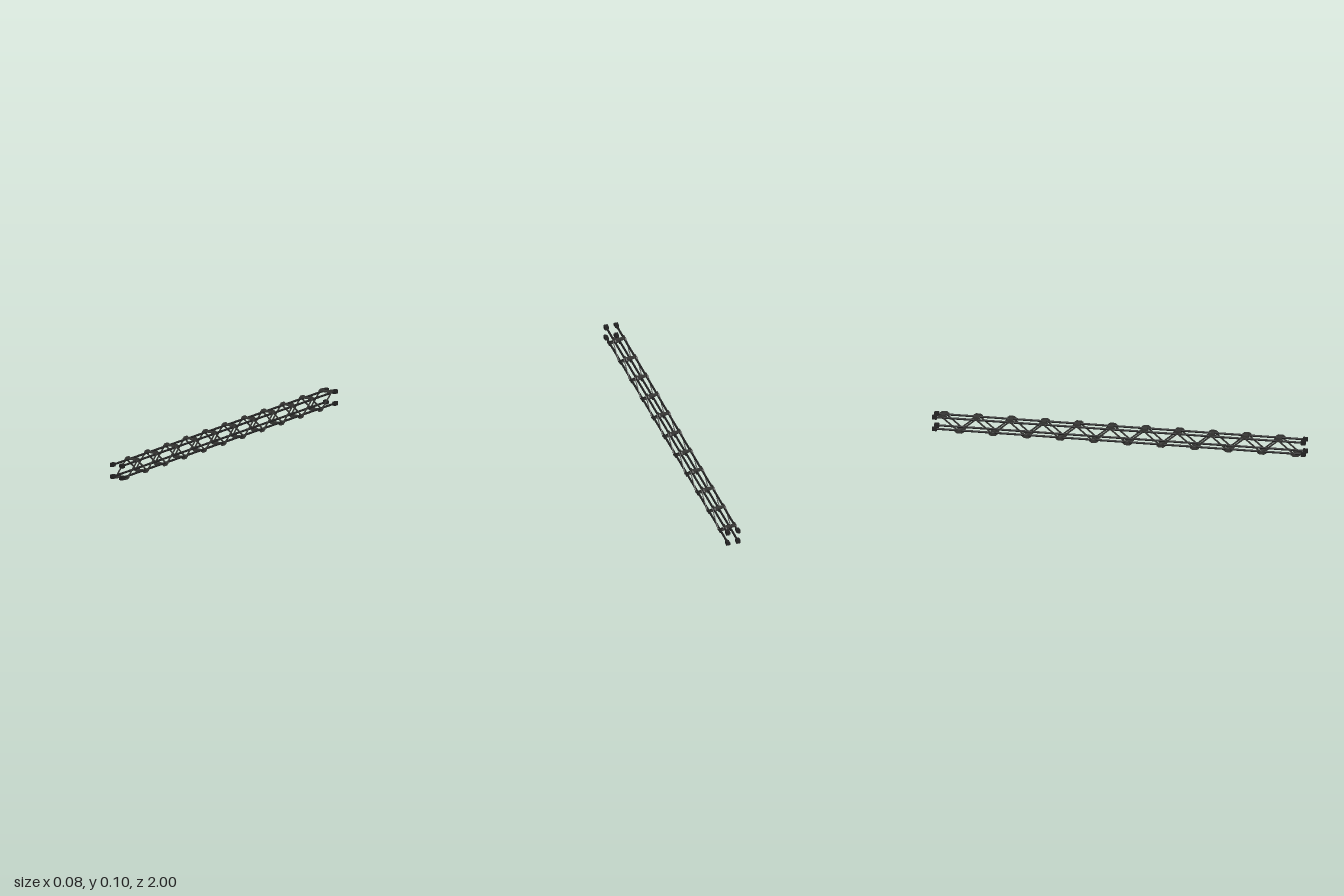
import * as THREE from 'three';

export function createModel() {
  const model = new THREE.Group();
  const chordPaint = new THREE.MeshStandardMaterial({ color: 0x222222 });
  chordPaint.name = 'black steel';
  const lacingPaint = new THREE.MeshStandardMaterial({ color: 0x363634 });
  lacingPaint.name = 'dark grey steel';

  const X = 0.028, MID = 0.049, H = 0.032; // chord offset, centre height, half height
  const add = (name, geometry, material, x, y, z) => {
    const mesh = new THREE.Mesh(geometry, material);
    mesh.name = name;
    mesh.position.set(x, y, z);
    model.add(mesh);
    return mesh;
  };

  // Four long chords with a notched block on each end
  const chordGeo = new THREE.CylinderGeometry(0.006, 0.006, 1.97, 8).rotateX(Math.PI / 2);
  const blockGeo = (sx, sy) => {
    const pts = [[0.0105, 0.0105], [-0.0105, 0.0105], [-0.0105, -0.005],
      [-0.005, -0.005], [-0.005, -0.0105], [0.0105, -0.0105]];
    const shape = new THREE.Shape(pts.map(([x, y]) => new THREE.Vector2(x * sx, y * sy)));
    return new THREE.ExtrudeGeometry(shape, { depth: 0.025, bevelEnabled: false }).translate(0, 0, -0.0125);
  };
  for (const sx of [-1, 1]) for (const sy of [-1, 1]) {
    add('chord', chordGeo, chordPaint, sx * X, MID + sy * H, 0);
    const geo = blockGeo(sx, sy);
    for (const sz of [-1, 1]) add('endBlock', geo, chordPaint, sx * X, MID + sy * H, sz * 0.9875);
  }

  // Gusset plate profile, drawn in z and y and turned to face sideways
  const gussetGeo = (sy) => {
    const pts = [[-0.024, -0.004], [0.024, -0.004], [0.024, 0.009], [0.013, 0.017], [-0.013, 0.017], [-0.024, 0.009]];
    const shape = new THREE.Shape(pts.map(([z, y]) => new THREE.Vector2(z, y * sy)));
    return new THREE.ExtrudeGeometry(shape, { depth: 0.006, bevelEnabled: false })
      .translate(0, 0, -0.003).rotateY(Math.PI / 2);
  };
  const gussets = { '-1': gussetGeo(-1), '1': gussetGeo(1) };

  // Nodes alternate between the lower and upper chords
  const COUNT = 22, PITCH = 0.09, R = 0.037;
  const rungGeo = new THREE.BoxGeometry(0.068, 0.006, 0.02);
  const braceLength = Math.hypot(PITCH, 2 * R);
  const braceGeo = new THREE.BoxGeometry(0.004, 0.008, braceLength);
  for (let i = 0; i < COUNT; i++) {
    const z = ((COUNT - 1) / 2 - i) * PITCH;
    const sy = i % 2 ? 1 : -1;
    add('rung', rungGeo, lacingPaint, 0, MID + sy * 0.039, z);
    for (const sx of [-1, 1]) {
      add('gusset', gussets[sy], lacingPaint, sx * X, MID + sy * H, z);
      if (i < COUNT - 1) {
        // Diagonal brace to the next node
        const brace = add('brace', braceGeo, lacingPaint, sx * 0.0355, MID, z - PITCH / 2);
        brace.rotation.x = -sy * Math.atan2(2 * R, PITCH);
      }
    }
  }
  return model;
}
